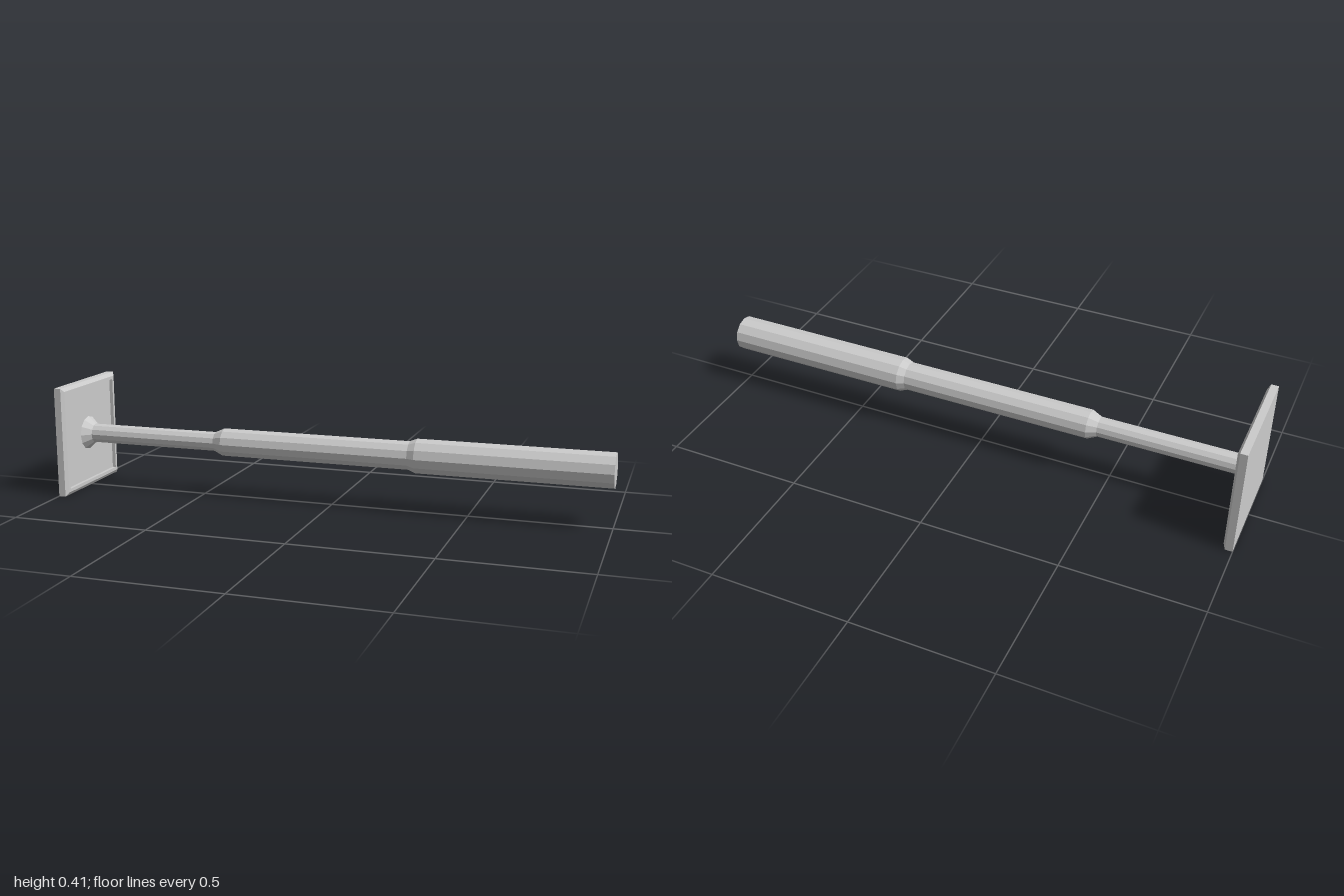
import * as THREE from 'three';

const CENTRE_Y = 0.203;
const material = new THREE.MeshStandardMaterial({ color: 0xcccccc, flatShading: true });

// Turns an [x, radius] profile around the long x axis
function turned(name, profile, sides, phase = 0) {
  const points = profile.map(([x, r]) => new THREE.Vector2(r, x));
  const geometry = new THREE.LatheGeometry(points, sides, phase);
  geometry.rotateZ(-Math.PI / 2);
  const mesh = new THREE.Mesh(geometry, material);
  mesh.name = name;
  mesh.position.y = CENTRE_Y;
  return mesh;
}

export function createModel() {
  const group = new THREE.Group();
  group.name = 'telescopicPost';

  // Square base plate: bevelled rim around a recessed face (four-sided lathe, half-widths)
  const plate = [
    [-1, 0], [-1, 0.203], [-0.974, 0.203], [-0.965, 0.19],
    [-0.965, 0.178], [-0.978, 0.178], [-0.978, 0],
  ].map(([x, half]) => [x, half * Math.SQRT2]);
  group.add(turned('basePlate', plate, 4, Math.PI / 4));

  // Conical collar joining the plate and the post
  group.add(turned('collar', [[-0.978, 0.063], [-0.947, 0.036]], 12));

  // Post in three stepped sections, each with a tapered shoulder
  group.add(turned('innerTube', [[-0.978, 0.036], [-0.44, 0.036]], 12));
  group.add(turned('middleTube', [[-0.45, 0.036], [-0.415, 0.052], [0.3, 0.052]], 12));
  group.add(turned('outerTube', [[0.288, 0.052], [0.315, 0.063], [1, 0.063], [1, 0]], 12));

  return group;
}
